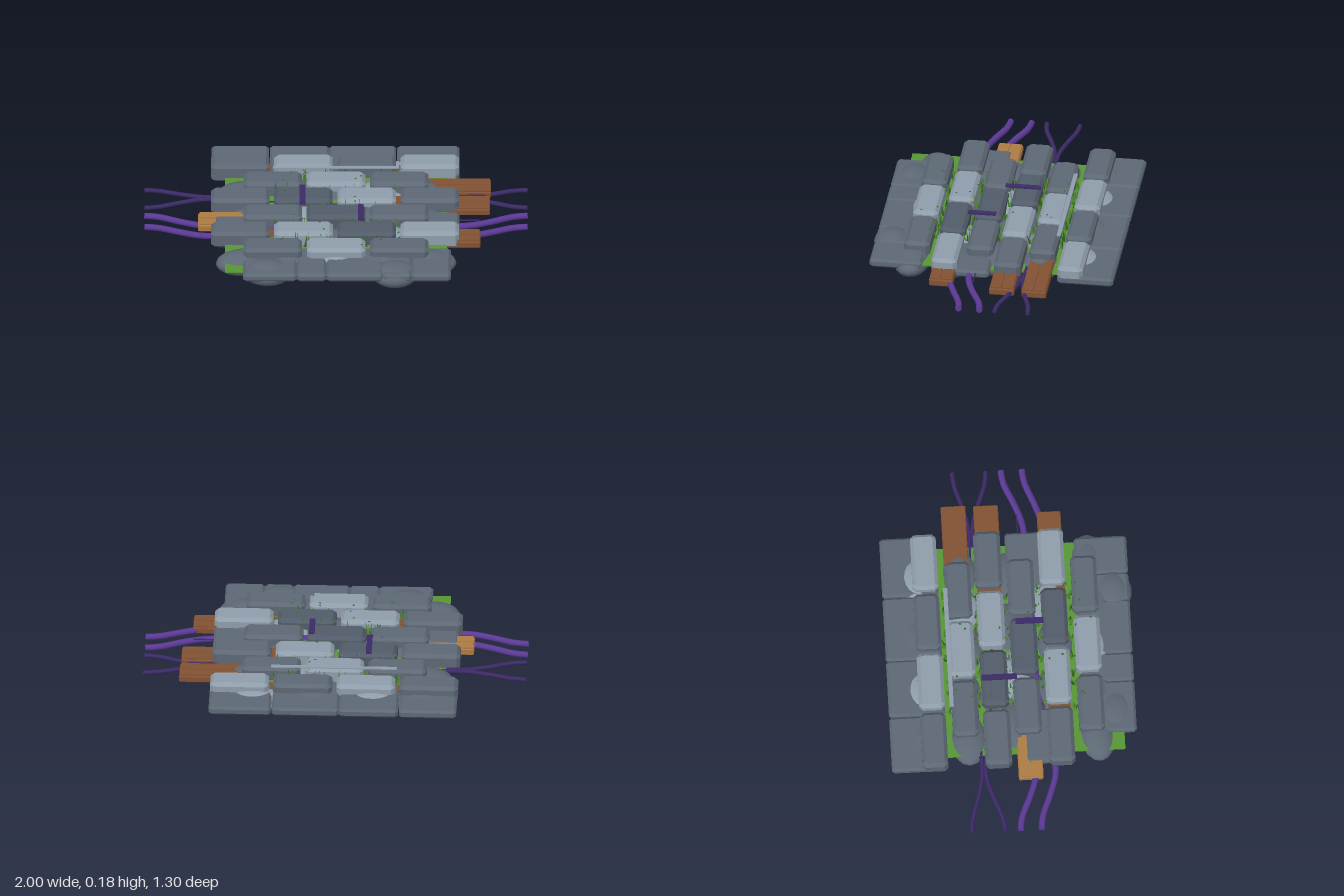
import * as THREE from 'three';

const mat = (name, color, extra = {}) => Object.assign(new THREE.MeshStandardMaterial({ color, ...extra }), { name });

export function createModel() {
  const root = new THREE.Group();
  root.name = 'stonePath';
  const slate = mat('slate', 0x5d6875);
  const light = mat('lightSlate', 0x8f9dab);
  const dark = mat('darkSlate', 0x525b69);
  const moss = mat('moss', 0x579636, { side: THREE.DoubleSide });
  const leaf = mat('darkLeaf', 0x376a25, { side: THREE.DoubleSide });
  const wood = mat('wood', 0x835233);
  const paleWood = mat('paleWood', 0xad7b43);
  const purple = mat('purpleRoot', 0x5c3a96, { side: THREE.DoubleSide });
  const indigo = mat('indigoRoot', 0x3b2a66, { side: THREE.DoubleSide });

  let seed = 7;
  const rnd = () => (seed = (seed * 16807) % 2147483647) / 2147483647;
  const add = (name, geo, m, x = 0, y = 0, z = 0) => {
    const mesh = new THREE.Mesh(geo, m);
    mesh.name = name;
    mesh.position.set(x, y, z);
    root.add(mesh);
    return mesh;
  };

  // Chamfered block given by its extents
  const block = (name, x0, x1, y0, y1, z0, z1, b, m) => {
    const w = (x1 - x0) / 2 - b, d = (z1 - z0) / 2 - b, c = b * 0.5;
    const s = new THREE.Shape([[-w + c, -d], [w - c, -d], [w, -d + c], [w, d - c],
      [w - c, d], [-w + c, d], [-w, d - c], [-w, -d + c]].map(p => new THREE.Vector2(...p)));
    const g = new THREE.ExtrudeGeometry(s, {
      depth: y1 - y0 - 2 * b, bevelEnabled: true, bevelThickness: b, bevelSize: b, bevelSegments: 1,
    });
    g.translate(0, 0, b);
    g.rotateX(-Math.PI / 2);
    return add(name, g, m, (x0 + x1) / 2, y0, (z0 + z1) / 2);
  };

  // Raised paving blocks, in staggered courses
  const four = [-0.5, -0.17, 0.16, 0.49], three = [-0.33, 0, 0.33];
  const courses = [
    [-0.495, -0.36, four, [slate, light, slate, light]],
    [-0.325, -0.19, three, [slate, light, slate]],
    [-0.165, -0.025, four, [slate, dark, light, slate]],
    [0.0, 0.14, three, [slate, dark, slate]],
    [0.17, 0.305, four, [slate, light, dark, light]],
    [0.335, 0.47, three, [slate, light, slate]],
  ];
  for (const [z0, z1, xs, ms] of courses)
    xs.forEach((x, i) => block('pavingBlock', x - 0.153, x + 0.153, 0.07, 0.167, z0, z1, 0.018, ms[i]));

  // Low slabs along the back, the front and both sides
  for (const [a, b] of [[-0.65, -0.35], [-0.345, -0.035], [-0.035, 0.315], [0.32, 0.645]])
    block('backSlab', a, b, 0.07, 0.117, -0.655, -0.36, 0.012, slate);
  for (const [a, b] of [[-0.485, -0.205], [-0.205, -0.05], [-0.05, 0.245], [0.245, 0.395], [0.395, 0.6]])
    block('frontSlab', a, b, 0.068, 0.115, 0.36, 0.635, 0.012, slate);
  block('sideSlab', 0.34, 0.645, 0.07, 0.112, 0.0, 0.3, 0.012, slate);
  block('sideSlab', -0.635, -0.34, 0.07, 0.12, 0.05, 0.3, 0.012, slate);

  // Rounded foundation stones
  const stone = (x, z, rx, rz, m, y) => {
    const s = add('foundationStone', new THREE.SphereGeometry(1, 16, 12), m, x, y, z);
    s.scale.set(rx, 0.062, rz);
    s.rotation.y = (rnd() - 0.5) * 0.3;
  };
  // Each bed: z, half depth, x positions, indices of the pale stones
  const beds = [
    [-0.47, 0.11, [-0.46, -0.21, 0.1, 0.42], [1, 3]],
    [-0.245, 0.1, [-0.47, -0.23, 0.02, 0.25, 0.44], [3]],
    [0.0, 0.105, [-0.42, -0.14, 0.13, 0.41], [1]],
    [0.21, 0.105, [-0.46, -0.22, 0.02, 0.26, 0.46], [3]],
    [0.425, 0.095, [-0.48, -0.25, 0.0, 0.24, 0.48], [2]],
  ];
  for (const [z, rz, xs, pale] of beds)
    xs.forEach((x, i) => {
      const isPale = pale.includes(i);
      const jog = !isPale && i > 0 && i < xs.length - 1 ? (rnd() - 0.5) * 0.05 : 0;
      stone(x, z + jog, 0.15, rz, isPale ? light : slate, isPale ? 0.068 : 0.063);
    });
  stone(-0.36, 0.53, 0.13, 0.1, slate, 0.068);
  stone(0.31, 0.55, 0.12, 0.1, slate, 0.068);

  // Mossy bed
  add('mossBed', new THREE.BoxGeometry(1.16, 0.008, 0.94), moss, 0, 0.09, 0.1);

  // Planks poking out between the courses, each with two boards on top
  const plank = (x0, x1, z0, z1, m) => {
    const w = x1 - x0, d = z1 - z0, x = (x0 + x1) / 2, z = (z0 + z1) / 2;
    block('plank', x0, x1, 0.07, 0.108, z0, z1, 0.005, m);
    for (const s of [-1, 1])
      add('plankBoard', new THREE.BoxGeometry(w - 0.012, 0.008, d * 0.44), m, x, 0.111, z + s * d * 0.24);
  };
  plank(0.2, 0.81, -0.325, -0.195, wood);
  plank(0.2, 0.805, -0.155, -0.025, wood);
  plank(0.25, 0.755, 0.175, 0.3, wood);
  plank(-0.72, -0.4, 0.005, 0.135, paleWood);
  plank(-0.45, -0.2, 0.18, 0.295, wood);
  plank(-0.45, 0.4, -0.45, -0.38, wood);
  add('twig', new THREE.BoxGeometry(0.12, 0.005, 0.006), indigo, 0.69, 0.1, 0.07);

  // Wavy roots running from side to side
  const wavyRoot = (ends, inner, mid, r, m) => {
    const half = [[1, ends], [0.93, ends + (inner - ends) * 0.1], [0.8, ends + (inner - ends) * 0.65],
      [0.68, inner], [0.4, (inner + mid) / 2]];
    const pts = [...half.map(([x, z]) => [-x, z]), [0, mid], ...half.reverse()];
    const curve = new THREE.CatmullRomCurve3(pts.map(([x, z]) => new THREE.Vector3(x, 0.085, z)));
    add('root', new THREE.TubeGeometry(curve, 48, r, 8), m);
    for (const s of [-1, 1])
      add('rootEnd', new THREE.CircleGeometry(r, 8), m, s * 0.999, 0.085, ends).rotation.y = s * Math.PI / 2;
  };
  wavyRoot(-0.255, -0.185, -0.2, 0.012, indigo);
  wavyRoot(-0.08, -0.165, -0.1, 0.012, indigo);
  wavyRoot(0.0, 0.1, 0.1, 0.017, purple);
  wavyRoot(0.11, 0.2, 0.12, 0.017, purple);

  // Thin straps and a pale strip lying on the blocks
  add('strap', new THREE.BoxGeometry(0.03, 0.009, 0.185), indigo, -0.175, 0.172, -0.07);
  add('strap', new THREE.BoxGeometry(0.03, 0.009, 0.145), indigo, 0.13, 0.172, 0.105);
  add('paleStrip', new THREE.BoxGeometry(0.66, 0.006, 0.022), light, 0, 0.18, -0.326);

  // Grass tufts in the joints
  for (const z of [-0.34, -0.178, -0.012, 0.155, 0.32])
    for (let i = 0; i < 8; i++) {
      const x = -0.32 + i * 0.09 + (rnd() - 0.5) * 0.05;
      for (let k = 0; k < 4; k++) {
        const h = 0.07 + rnd() * 0.03;
        const g = new THREE.ConeGeometry(0.009, h, 4);
        g.translate(0, h / 2, 0);
        const b = add('grassBlade', g, k === 3 ? leaf : moss, x + (rnd() - 0.5) * 0.03, 0.08, z);
        b.rotation.set((rnd() - 0.5) * 0.5, rnd() * 3, (rnd() - 0.5) * 0.7);
      }
    }

  // Small leaves scattered over the paving
  for (let i = 0; i < 32; i++) {
    const l = add('fallenLeaf', new THREE.CircleGeometry(0.009, 4), leaf,
      -0.3 + rnd() * 0.65, 0.171, -0.32 + rnd() * 0.76);
    l.rotation.set(-Math.PI / 2 + (rnd() - 0.5) * 0.4, 0, rnd() * 3);
    l.scale.x = 0.7;
  }
  return root;
}
